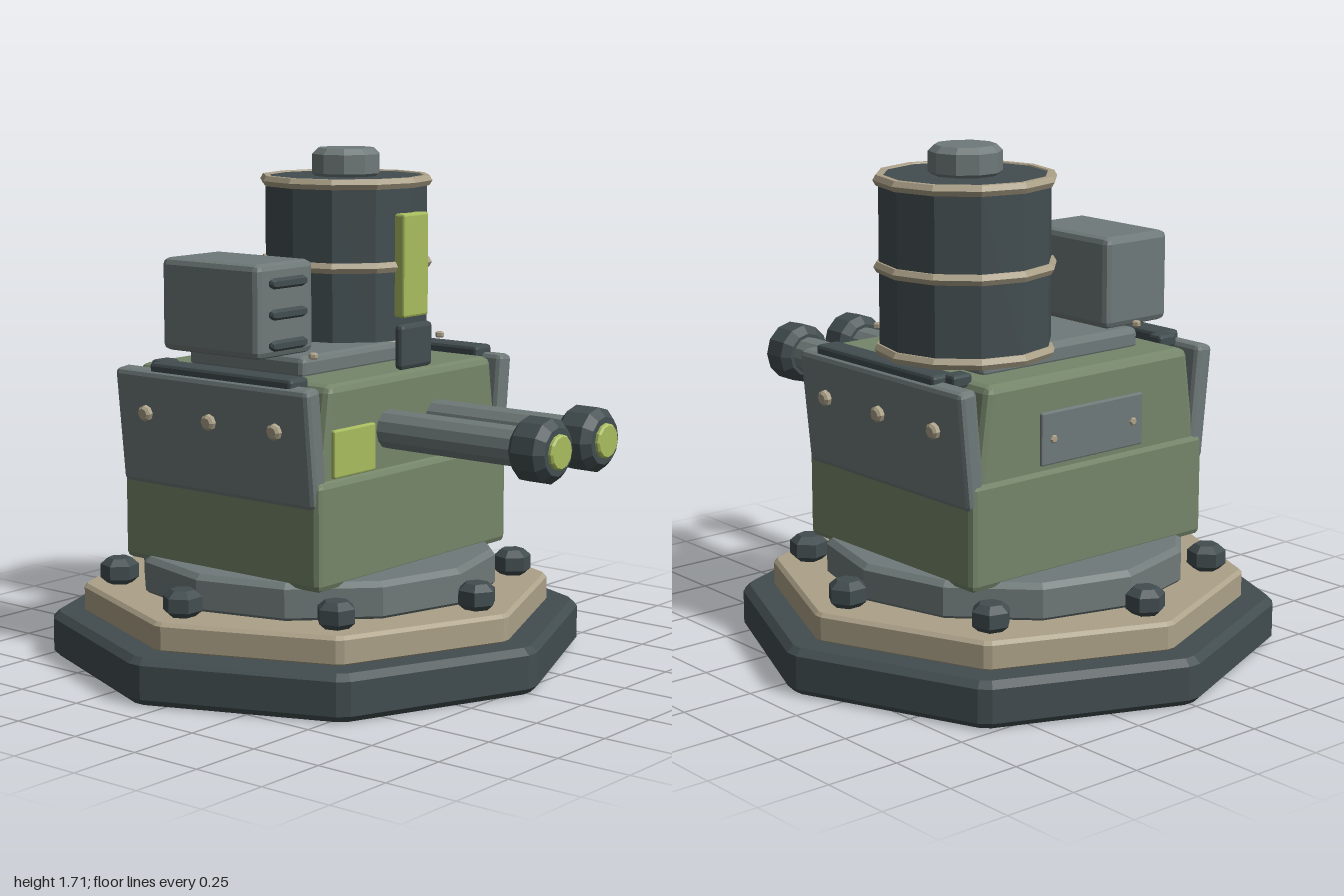
import * as THREE from 'three';
import { RoundedBoxGeometry } from 'three/addons/geometries/RoundedBoxGeometry.js';

const paint = (name, color) => {
  const m = new THREE.MeshStandardMaterial({ color, flatShading: true });
  m.name = name;
  return m;
};

export function createModel() {
  const dark = paint('dark slate', 0x424d50);
  const grey = paint('steel grey', 0x6f7a79);
  const green = paint('army green', 0x75866a);
  const beige = paint('sand', 0xada289);
  const lime = paint('lime', 0xa9bd5f);

  const model = new THREE.Group();
  model.name = 'turret';

  const add = (name, geo, mat, x, y, z, parent = model) => {
    const mesh = new THREE.Mesh(geo, mat);
    mesh.name = name;
    mesh.position.set(x, y, z);
    parent.add(mesh);
    return mesh;
  };

  // Chamfered regular prism standing on y = 0, with its corners cut by `cut`
  const prism = (n, r, h, bevel, cut = 0) => {
    const corner = i => new THREE.Vector2(Math.cos(i * 2 * Math.PI / n), Math.sin(i * 2 * Math.PI / n)).multiplyScalar(r);
    const side = 2 * r * Math.sin(Math.PI / n);
    const pts = [];
    for (let i = 0; i < n; i++) {
      const p = corner(i);
      if (!cut) pts.push(p);
      else pts.push(p.clone().lerp(corner(i - 1), cut / side), p.clone().lerp(corner(i + 1), cut / side));
    }
    const geo = new THREE.ExtrudeGeometry(new THREE.Shape(pts), {
      depth: h - 2 * bevel, bevelThickness: bevel, bevelSize: bevel, bevelOffset: -bevel, bevelSegments: 1,
    });
    return geo.translate(0, 0, bevel).rotateX(-Math.PI / 2);
  };

  // Chamfered box given by its limits
  const box = (name, mat, [x0, x1], [y0, y1], [z0, z1], bevel, parent) =>
    add(name, new RoundedBoxGeometry(x1 - x0, y1 - y0, z1 - z0, 1, bevel), mat,
      (x0 + x1) / 2, (y0 + y1) / 2, (z0 + z1) / 2, parent);

  // Stepped base
  const cz = -0.09;
  add('basePlate', prism(8, 0.91, 0.155, 0.022, 0.025), dark, 0, 0, cz);
  add('baseStep', prism(8, 0.8, 0.1, 0.012, 0.015), beige, 0, 0.148, cz);
  add('turntable', prism(12, 0.61, 0.13, 0.018), grey, 0, 0.24, cz);
  for (let i = 0; i < 8; i++) {
    const a = i * Math.PI / 4;
    const bolt = add('baseBolt', prism(6, 0.065, 0.09, 0.022), dark,
      0.675 * Math.cos(a), 0.245, cz - 0.675 * Math.sin(a));
    bolt.rotation.y = a;
  }

  // Body: straight lower box and an upper box that narrows upward
  box('lowerBody', green, [-0.505, 0.505], [0.35, 0.705], [-0.512, 0.34], 0.022);
  const upper = box('upperBody', green, [-0.48, 0.48], [0.67, 1.005], [-0.505, 0.322], 0.025);
  const pos = upper.geometry.attributes.position;
  for (let i = 0; i < pos.count; i++) {
    pos.setX(i, pos.getX(i) * (1 - 0.1 * (pos.getY(i) / 0.335 + 0.5)));
  }

  // Leaning side armour with rivets and top rails
  for (const s of [-1, 1]) {
    const armour = new THREE.Group();
    armour.name = s > 0 ? 'leftArmour' : 'rightArmour';
    armour.position.set(s * 0.495, 0.81, cz);
    armour.rotation.z = -s * 0.1;
    model.add(armour);
    add('armourPlate', new RoundedBoxGeometry(0.07, 0.39, 0.835, 1, 0.018), grey, 0, 0, 0, armour);
    for (const z of [-0.28, 0, 0.28]) {
      const rivet = add('armourRivet', prism(8, 0.027, 0.03, 0.008), beige, s * 0.03, 0.055, z, armour);
      rivet.rotation.z = -s * Math.PI / 2;
    }
    const rail = box('topRail', dark, [-0.045, 0.045], [0.985, 1.03], [-0.36, 0.25], 0.012);
    rail.position.x = s * 0.49;
    const tab = box('railTab', dark, [-0.038, 0.038], [0.985, 1.03], [-0.4, -0.34], 0.01);
    tab.position.x = s * 0.447;
  }

  // Roof slab, its bolts and the sight block
  box('roofPlate', grey, [-0.335, 0.34], [0.99, 1.068], [-0.37, 0.13], 0.02);
  for (const x of [-0.335, 0.335]) {
    for (const z of [-0.36, 0.175]) add('roofBolt', prism(6, 0.015, 0.02, 0.004), beige, x, 1.067, z);
  }
  box('sightBlock', dark, [-0.082, 0.085], [1.015, 1.163], [0.303, 0.336], 0.014);

  // Vent box with louvres
  box('ventBox', grey, [-0.49, -0.212], [1.068, 1.373], [-0.345, 0.075], 0.022);
  for (const y of [1.11, 1.21, 1.31]) {
    const louvre = add('ventLouvre', new THREE.CapsuleGeometry(0.018, 0.14, 2, 6), dark, -0.352, y, 0.085);
    louvre.rotation.z = Math.PI / 2;
  }

  // Drum tank with hoops, cap and label
  const dx = 0.23, dz = -0.153;
  add('drum', prism(12, 0.281, 0.58, 0.012), dark, dx, 1.03, dz);
  for (const y of [1.05, 1.318, 1.597]) {
    const hoop = add('drumHoop', new THREE.TorusGeometry(0.279, 0.02, 6, 12), beige, dx, y, dz);
    hoop.rotation.x = Math.PI / 2;
  }
  add('drumCap', prism(10, 0.12, 0.105, 0.02), grey, dx, 1.6, dz);
  box('drumLabel', lime, [0.163, 0.298], [1.147, 1.497], [0.11, 0.155], 0.008);

  // Twin barrels with muzzles and glowing lenses
  for (const x of [-0.13, 0.128]) {
    const gun = new THREE.Group();
    gun.name = x < 0 ? 'rightGun' : 'leftGun';
    gun.position.set(x, 0.83, 0);
    gun.rotation.x = Math.PI / 2;
    model.add(gun);
    add('barrel', prism(12, 0.065, 0.62, 0.005), grey, 0, 0.28, 0, gun);
    add('muzzle', prism(12, 0.104, 0.135, 0.026), dark, 0, 0.85, 0, gun);
    add('lens', prism(12, 0.057, 0.04, 0.006), lime, 0, 0.96, 0, gun);
  }

  // Front light panel and rear hatch
  box('lightPanel', lime, [-0.422, -0.213], [0.708, 0.863], [0.31, 0.336], 0.006);
  box('rearHatch', grey, [-0.22, 0.22], [0.715, 0.89], [-0.515, -0.49], 0.006);
  for (const x of [-0.173, 0.173]) {
    const bolt = add('hatchBolt', prism(6, 0.014, 0.014, 0.003), beige, x, 0.8, -0.51);
    bolt.rotation.x = -Math.PI / 2;
  }

  return model;
}
